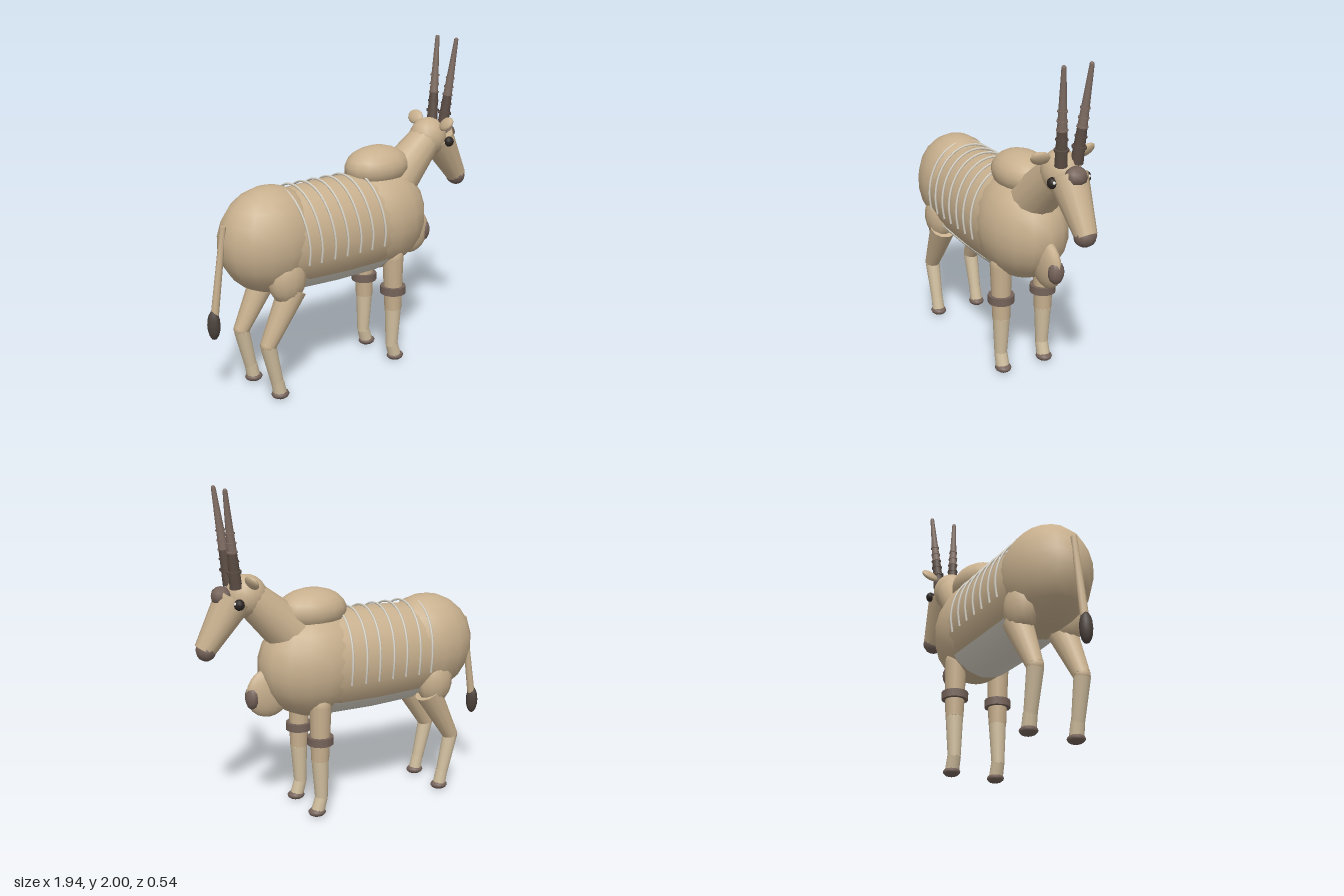
import * as THREE from 'three';

const mat = (name, color, opts = {}) => {
  const m = new THREE.MeshStandardMaterial({ color, ...opts });
  m.name = name;
  return m;
};

export function createModel() {
  const root = new THREE.Group();
  root.name = 'antelope';

  const coat = mat('coat', 0xc8b08e);
  const shin = mat('paleShin', 0xd2c0a0);
  const pale = mat('paleBelly', 0xdad5c8, { side: THREE.DoubleSide });
  const horn = mat('horn', 0x806e64);
  const hornBase = mat('hornBase', 0x5c4d45);
  const brown = mat('brownHide', 0x75635a);
  const dark = mat('darkTuft', 0x4c423c);
  const black = mat('eye', 0x2b2522);
  const white = mat('eyeGlint', 0xf2f2f0);

  const add = (name, geo, material) => {
    const m = new THREE.Mesh(geo, material);
    m.name = name;
    root.add(m);
    return m;
  };
  // Ellipsoid from centre and radii
  const ball = (name, material, c, r, rotZ = 0, ws = 16, hs = 11) => {
    const m = add(name, new THREE.SphereGeometry(1, ws, hs).scale(...r), material);
    m.position.set(...c);
    m.rotation.z = rotZ;
    return m;
  };
  // Tapered cylinder between two points
  const limb = (name, material, a, b, ra, rb, seg = 12) => {
    const p = new THREE.Vector3(...a), q = new THREE.Vector3(...b);
    const d = q.clone().sub(p);
    const m = add(name, new THREE.CylinderGeometry(rb, ra, d.length(), seg), material);
    m.position.copy(p).add(q).multiplyScalar(0.5);
    m.quaternion.setFromUnitVectors(new THREE.Vector3(0, 1, 0), d.normalize());
    return m;
  };
  // Body section turned about the x axis, squeezed to an oval
  const barrel = (name, material, pts, start, sweep) => {
    const g = new THREE.LatheGeometry(pts.map(p => new THREE.Vector2(p[1], p[0])), 20, start, sweep);
    g.rotateZ(-Math.PI / 2).scale(1, 0.315, 0.258);
    add(name, g, material).position.y = 0.925;
  };

  // Trunk
  ball('rump', coat, [-0.55, 0.95, 0], [0.315, 0.315, 0.25]);
  ball('chest', coat, [0.24, 0.93, 0], [0.345, 0.325, 0.26]);
  barrel('torso', coat, [[-0.5, 0.92], [-0.35, 0.96], [-0.12, 0.99], [0.1, 0.98], [0.25, 0.95]], 0, Math.PI * 2);
  barrel('belly', pale, [[-0.43, 0.93], [-0.4, 0.99], [-0.12, 1.025], [0.16, 1.015], [0.23, 0.96]],
    Math.PI / 2 - 0.86, 1.72);
  ball('shoulderHump', coat, [0.245, 1.255, 0], [0.22, 0.13, 0.16]);
  ball('brisket', coat, [0.53, 0.785, 0], [0.145, 0.15, 0.055], 0.25);
  ball('brisketTuft', brown, [0.637, 0.768, 0], [0.042, 0.072, 0.05], 0, 10, 8);

  // Rib stripes arching over the back
  [-0.465, -0.38, -0.285, -0.195, -0.1, -0.01, 0.085].forEach(x => {
    const pts = [];
    for (let i = 0; i <= 14; i++) {
      const a = -0.3 + (Math.PI + 0.6) * i / 14;
      pts.push(new THREE.Vector3(x + 0.025 * (1 - Math.max(0, Math.sin(a))),
        0.925 + 0.318 * Math.sin(a), 0.262 * Math.cos(a)));
    }
    add('ribStripe', new THREE.TubeGeometry(new THREE.CatmullRomCurve3(pts), 28, 0.007, 5), pale);
  });

  // Neck and head
  limb('neck', coat, [0.38, 1.13, 0], [0.66, 1.39, 0], 0.145, 0.1, 14);
  ball('skull', coat, [0.66, 1.38, 0], [0.125, 0.125, 0.11]);
  limb('muzzle', coat, [0.735, 1.37, 0], [0.92, 1.09, 0], 0.112, 0.062, 12);
  ball('nose', brown, [0.912, 1.09, 0], [0.057, 0.06, 0.068], 0, 10, 8);
  ball('foreheadKnob', brown, [0.81, 1.393, 0], [0.06, 0.058, 0.066], 0, 8, 6);

  // Tail
  limb('tail', coat, [-0.85, 1.08, 0], [-0.925, 0.56, 0], 0.018, 0.024, 8);
  ball('tailTuft', dark, [-0.933, 0.507, 0], [0.038, 0.09, 0.038], 0, 10, 8);

  for (const s of [1, -1]) {
    // Eyes and ears
    ball('eye', black, [0.745, 1.357, s * 0.108], [0.032, 0.032, 0.028], 0, 10, 8);
    ball('eyeGlint', white, [0.77, 1.365, s * 0.112], [0.01, 0.01, 0.01], 0, 6, 5);
    const ear = ball('ear', coat, [0.682, 1.483, s * 0.145], [0.022, 0.047, 0.06], -0.6, 12, 8);
    ear.rotation.x = -s * 0.3;

    // Ringed horns
    const at = t => [0.738 + 0.062 * t, 1.44 + 0.55 * t, s * (0.05 + 0.036 * t)];
    const rad = t => 0.036 - 0.023 * t;
    limb('hornBase', hornBase, at(0), at(0.38), rad(0), rad(0.38), 10);
    limb('horn', horn, at(0.38), at(1), rad(0.38), rad(1), 10);
    ball('hornTip', horn, at(1), [0.013, 0.012, 0.013], 0, 8, 6);
    [0.17, 0.28, 0.38, 0.47, 0.57].forEach((t, i) => {
      const h = i ? 0.009 : 0.013, r = rad(t) + (i ? 0.005 : 0.009);
      limb('hornRing', i < 2 ? hornBase : horn, at(t - h), at(t + h), r, r, 10);
    });

    // Front legs
    const z = s * 0.146;
    ball('shoulder', coat, [0.265, 0.7, z], [0.066, 0.085, 0.066], 0, 12, 8);
    limb('frontUpperLeg', coat, [0.265, 0.7, z], [0.27, 0.36, z], 0.066, 0.054);
    limb('legCuff', brown, [0.268, 0.465, z], [0.268, 0.513, z], 0.08, 0.08, 14);
    limb('frontShin', shin, [0.27, 0.36, z], [0.263, 0.11, z], 0.052, 0.038);
    limb('frontPastern', shin, [0.263, 0.12, z], [0.288, 0.035, z], 0.04, 0.042, 10);
    ball('frontHoof', brown, [0.293, 0.03, z], [0.055, 0.028, 0.05], 0, 12, 8);

    // Hind legs
    ball('thigh', coat, [-0.53, 0.745, s * 0.15], [0.122, 0.155, 0.09], 0, 12, 9);
    limb('hindUpperLeg', coat, [-0.49, 0.67, z], [-0.665, 0.36, z], 0.085, 0.048);
    ball('hock', coat, [-0.665, 0.36, z], [0.048, 0.046, 0.048], 0, 10, 8);
    limb('hindShin', shin, [-0.665, 0.355, z], [-0.608, 0.11, z], 0.047, 0.037);
    limb('hindPastern', shin, [-0.608, 0.12, z], [-0.59, 0.035, z], 0.039, 0.041, 10);
    ball('hindHoof', brown, [-0.588, 0.03, z], [0.055, 0.028, 0.05], 0, 12, 8);
  }
  return root;
}
